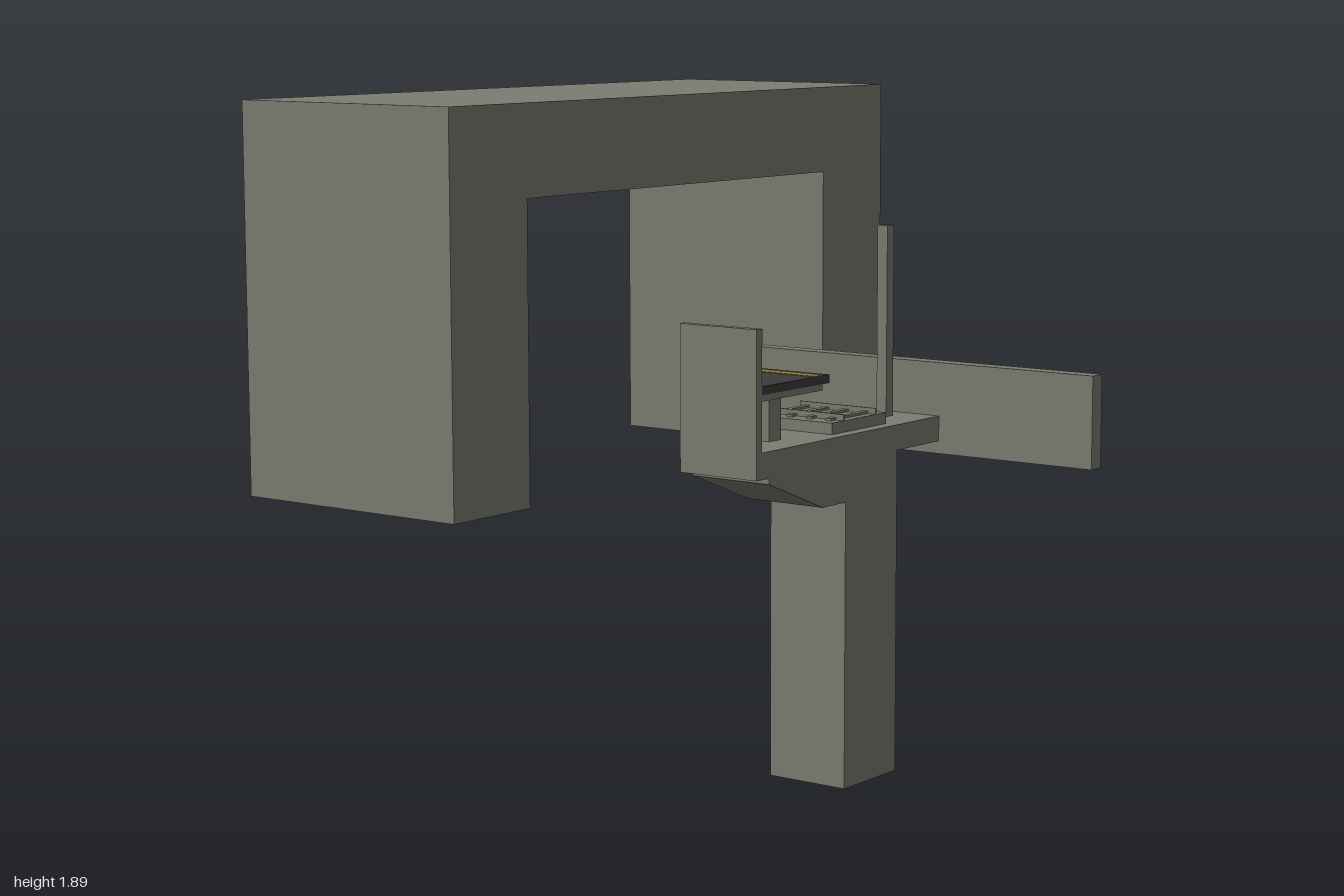
import * as THREE from 'three';

export function createModel() {
  const group = new THREE.Group();
  const material = (name, color) => {
    const m = new THREE.MeshStandardMaterial({ color });
    m.name = name;
    return m;
  };
  const concrete = material('concrete grey', 0x7c7c71);
  const asphalt = material('platform dark grey', 0x3b3b3b);
  const yellow = material('safety yellow', 0x8f8240);

  const add = (name, geometry, mat) => {
    const mesh = new THREE.Mesh(geometry, mat);
    mesh.name = name;
    group.add(mesh);
  };
  // Box given by its limits on each axis
  const box = (name, [x0, x1], [y0, y1], [z0, z1], mat = concrete) => {
    const g = new THREE.BoxGeometry(x1 - x0, y1 - y0, z1 - z0);
    g.translate((x0 + x1) / 2, (y0 + y1) / 2, (z0 + z1) / 2);
    add(name, g, mat);
  };
  // Front outline extruded from z0 to z1
  const slab = (name, points, [z0, z1]) => {
    const shape = new THREE.Shape(points.map(([x, y]) => new THREE.Vector2(x, y)));
    const g = new THREE.ExtrudeGeometry(shape, { depth: z1 - z0, bevelEnabled: false });
    g.translate(0, 0, z0);
    add(name, g, concrete);
  };
  const depth = [0.198, 0.45];

  // Large building spanning the rear
  slab('archBuilding', [
    [-1, 0.8], [-0.69, 0.8], [-0.69, 1.64], [0.69, 1.64],
    [0.69, 0.8], [1, 0.8], [1, 1.895], [-1, 1.895],
  ], [-0.95, -0.2]);

  // Pillar, deck and sloping bracket in one outline
  slab('pillarAndDeck', [
    [-0.128, 0], [0.125, 0], [0.125, 0.918], [0.34, 0.918], [0.34, 0.99],
    [-0.54, 0.99], [-0.54, 0.918], [-0.485, 0.918], [-0.485, 0.902],
    [-0.235, 0.805], [-0.128, 0.805],
  ], depth);

  // Long side wall and mast
  box('sideWall', [0.338, 0.388], [0.882, 1.143], [-0.2, 0.95]);
  box('mast', [0.236, 0.27], [0.99, 1.533], [0.305, 0.338]);

  // Raised platform
  box('platformBackWall', [-0.54, -0.515], [0.99, 1.318], depth);
  box('platformPost', [-0.347, -0.293], [0.99, 1.126], [0.297, 0.351]);
  box('platformBase', [-0.515, -0.24], [1.126, 1.143], depth);
  box('platformSurface', [-0.515, -0.208], [1.143, 1.166], depth, asphalt);
  box('warningStrip', [-0.276, -0.237], [1.166, 1.168], depth, yellow);

  // Track bed with sleepers and two rails
  box('trackBed', [-0.14, 0.125], [0.99, 1.022], [0.155, 0.412]);
  for (let i = 0; i < 4; i++) {
    const z = 0.18 + i * 0.066;
    box('sleeper', [-0.108, 0.098], [1.022, 1.029], [z - 0.009, z + 0.009]);
  }
  for (const x of [-0.081, 0.074]) {
    box('rail', [x - 0.003, x + 0.003], [1.022, 1.039], [0.155, 0.412]);
  }
  return group;
}
